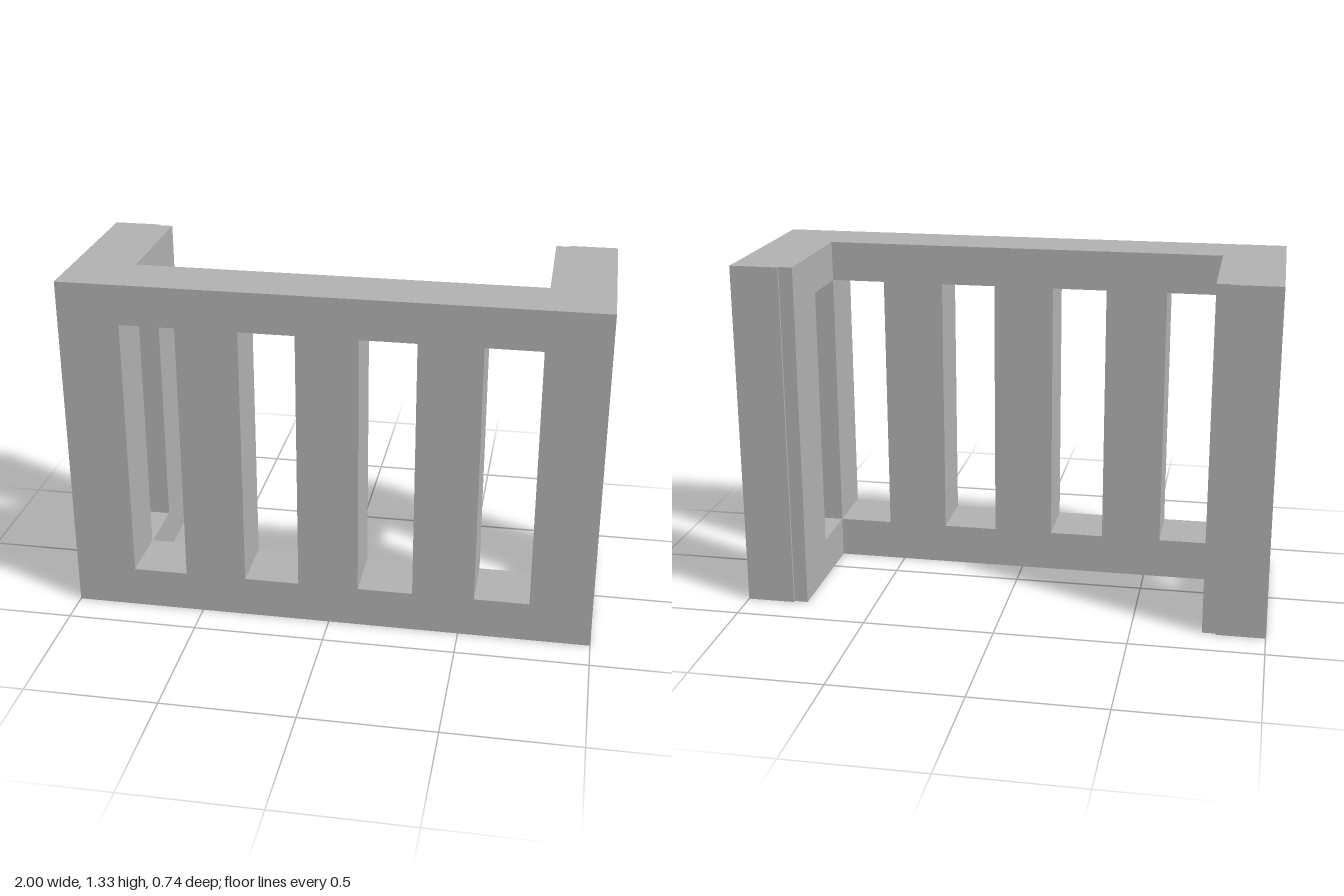
import * as THREE from 'three';

const H = 1.327, SILL = 0.157, HEAD = 1.175; // overall height, opening bottom and top
const FRONT = 0.368, INNER = 0.133, BACK = -0.358, LIP = -0.368; // z planes
const WALL = 0.235; // side wall thickness

function polygon(points) {
  return new THREE.Shape(points.map(([x, y]) => new THREE.Vector2(x, y)));
}

function rectangle(x0, x1, y0, y1) {
  return [[x0, y0], [x1, y0], [x1, y1], [x0, y1]];
}

export function createModel() {
  const group = new THREE.Group();
  const grey = new THREE.MeshStandardMaterial({ color: 0xb2b2b2 });
  grey.name = 'plain grey';

  const add = (name, geometry) => {
    const mesh = new THREE.Mesh(geometry, grey);
    mesh.name = name;
    group.add(mesh);
    return mesh;
  };

  // Front wall with four tall openings
  const front = polygon(rectangle(-1, 1, 0, H));
  for (const [x0, x1] of [[-0.768, -0.56], [-0.327, -0.118], [0.113, 0.322], [0.557, 0.765]]) {
    front.holes.push(polygon(rectangle(x0, x1, SILL, HEAD)));
  }
  const frontGeometry = new THREE.ExtrudeGeometry(front, { depth: FRONT - INNER, bevelEnabled: false });
  frontGeometry.translate(0, 0, INNER);
  add('frontWall', frontGeometry);

  // Side walls: the opening runs up to the front wall, so the outline is a C
  const side = polygon([
    [-INNER, 0], [-BACK, 0], [-BACK, H], [-INNER, H],
    [-INNER, HEAD], [0.102, HEAD], [0.102, SILL], [-INNER, SILL],
  ]);
  for (const [name, s] of [['left', 1], ['right', -1]]) {
    const wall = new THREE.ExtrudeGeometry(side, { depth: WALL, bevelEnabled: false });
    wall.rotateY(Math.PI / 2);
    wall.translate(s > 0 ? 1 - WALL : -1, 0, 0);
    add(name + 'Wall', wall);

    // Shallow raised strip on the back end of the wall
    const strip = add(name + 'BackStrip', new THREE.BoxGeometry(0.183, H, BACK - LIP));
    strip.position.set(s * (1 - 0.183 / 2), H / 2, (BACK + LIP) / 2);
  }
  return group;
}
